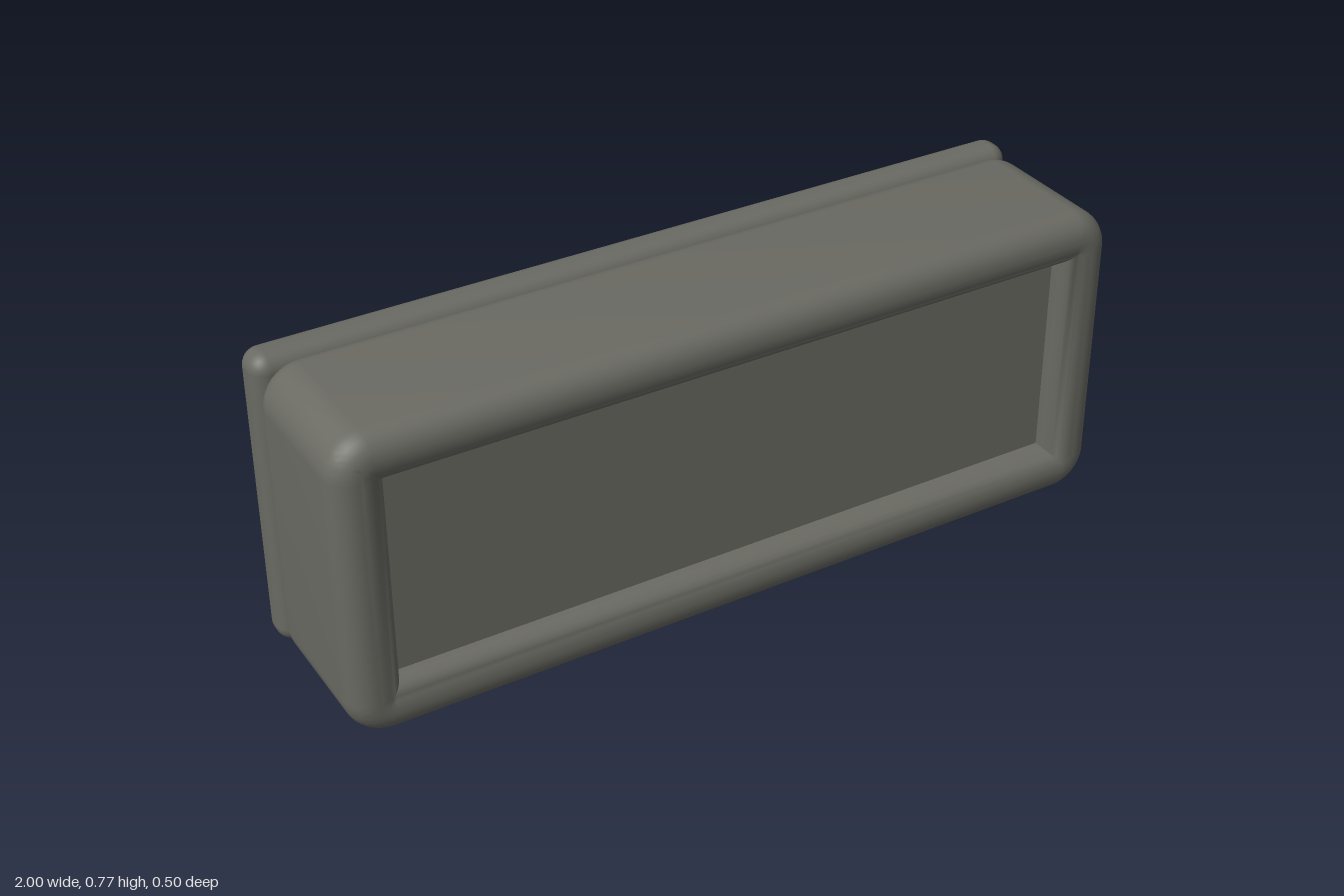
import * as THREE from 'three';
import { toCreasedNormals } from 'three/addons/utils/BufferGeometryUtils.js';
import { RoundedBoxGeometry } from 'three/addons/geometries/RoundedBoxGeometry.js';

const HEIGHT = 0.77;
const BEVEL = 0.06;

// Rectangle outline centred on the origin with rounded corners
function roundedRect(w, h, r) {
  const x = w / 2, y = h / 2;
  const s = new THREE.Shape();
  s.absarc(x - r, y - r, r, 0, Math.PI / 2);
  s.absarc(-x + r, y - r, r, Math.PI / 2, Math.PI);
  s.absarc(-x + r, -y + r, r, Math.PI, Math.PI * 1.5);
  s.absarc(x - r, -y + r, r, Math.PI * 1.5, Math.PI * 2);
  s.closePath();
  return s;
}

export function createModel() {
  const group = new THREE.Group();
  const grey = new THREE.MeshStandardMaterial({ color: 0x6a6a63 });
  grey.name = 'warm grey';

  function add(name, geometry, z) {
    const mesh = new THREE.Mesh(geometry, grey);
    mesh.name = name;
    mesh.position.set(0, HEIGHT / 2, z);
    group.add(mesh);
  }

  // Deep frame with a fully rounded lip around a rectangular opening
  const outline = roundedRect(2 - 2 * BEVEL, HEIGHT - 2 * BEVEL, 0.04);
  outline.holes.push(roundedRect(1.74 + 2 * BEVEL, 0.514 + 2 * BEVEL, 0.035));
  const frame = new THREE.ExtrudeGeometry(outline, {
    depth: 0.405 - 2 * BEVEL, bevelThickness: BEVEL, bevelSize: BEVEL,
    bevelSegments: 8, curveSegments: 8,
  });
  add('frame', toCreasedNormals(frame, 0.7), -0.155 + BEVEL);

  // Flat panel set inside the frame
  add('frontPanel', new THREE.BoxGeometry(1.78, 0.55, 0.02), 0.18);

  // Softly rounded plate behind the frame
  add('backPlate', new RoundedBoxGeometry(1.995, HEIGHT - 0.01, 0.098, 6, 0.042), -0.201);

  return group;
}
